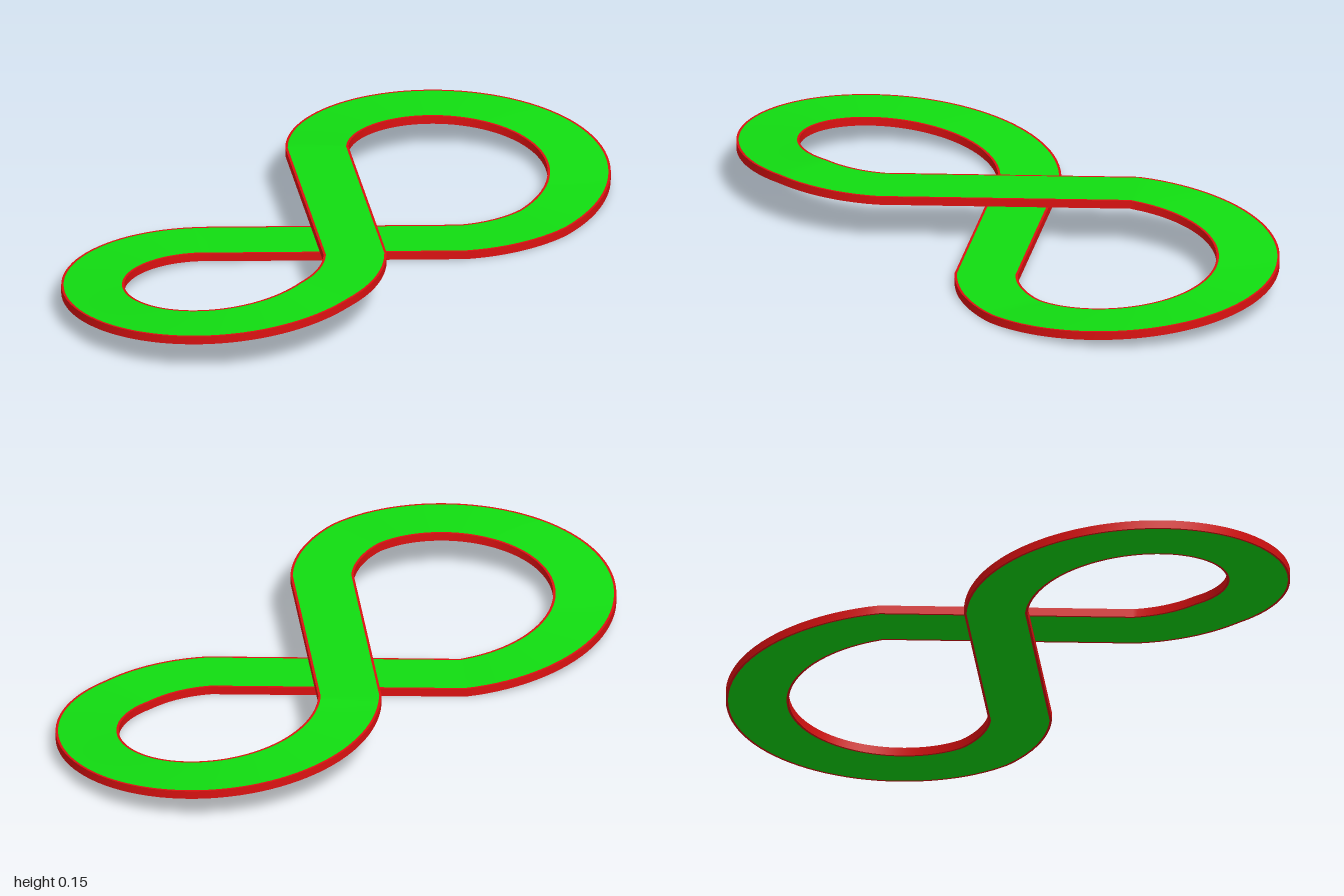
import * as THREE from 'three';

const RX = 0.375, RZ = 0.3975, CZ = 0.51;  // centre line of the rounded ends
const A0 = 0.73;                           // how far each end wraps past its widest point
const HALF = 0.0925, EDGE = 0.007;         // half width of the band and width of its rim
const THICK = 0.025, RISE = 0.125;

// Closed centre line: front loop runs down, lower strand crosses, back loop climbs, upper strand crosses
function centreLine() {
  const pts = [], N = 72;
  for (const side of [1, -1]) {
    for (let i = 0; i <= N; i++) {
      const u = i / N, a = -A0 + u * (Math.PI + 2 * A0);
      const f = Math.max(0, (u - 0.15) / 0.85);
      const h = side > 0 ? 1 - f : f;
      pts.push(new THREE.Vector3(RX * Math.cos(a), h * RISE, side * (CZ + RZ * Math.sin(a))));
    }
  }
  return pts;
}

// Mitred sideways vector (pointing right of travel) at each point
function sideways(pts) {
  const n = pts.length;
  const dir = (a, b) => new THREE.Vector3(b.x - a.x, 0, b.z - a.z).normalize();
  return pts.map((p, i) => {
    const d0 = dir(pts[(i + n - 1) % n], p), d1 = dir(p, pts[(i + 1) % n]);
    const t = d0.clone().add(d1).normalize();
    return new THREE.Vector3(-t.z, 0, t.x).divideScalar(t.dot(d1));
  });
}

// Sweep one line of the cross-section, from (s, y) to (s, y), along the whole loop
function band(name, pts, sides, from, to, material) {
  const pos = [], idx = [], n = pts.length;
  pts.forEach((p, i) => {
    for (const [s, y] of [from, to]) {
      pos.push(p.x + sides[i].x * s, p.y + y, p.z + sides[i].z * s);
    }
    const a = 2 * i, c = 2 * ((i + 1) % n);
    idx.push(a, a + 1, c, a + 1, c + 1, c);
  });
  const geo = new THREE.BufferGeometry();
  geo.setAttribute('position', new THREE.Float32BufferAttribute(pos, 3));
  geo.setIndex(idx);
  geo.computeVertexNormals();
  const mesh = new THREE.Mesh(geo, material);
  mesh.name = name;
  return mesh;
}

export function createModel() {
  const model = new THREE.Group();
  model.name = 'figureEightTrack';
  const green = new THREE.MeshStandardMaterial({ color: 0x11dd11 });
  const red = new THREE.MeshStandardMaterial({ color: 0xdd1111 });
  const pts = centreLine(), sides = sideways(pts);
  const inner = HALF - EDGE;
  const add = (name, from, to, mat) => model.add(band(name, pts, sides, from, to, mat));

  // Broad surfaces
  add('roadTop', [-inner, THICK], [inner, THICK], green);
  add('roadUnderside', [inner, 0], [-inner, 0], green);

  // Right rim
  add('rightRimTop', [inner, THICK], [HALF, THICK], red);
  add('rightRimWall', [HALF, THICK], [HALF, 0], red);
  add('rightRimUnderside', [HALF, 0], [inner, 0], red);

  // Left rim
  add('leftRimTop', [-HALF, THICK], [-inner, THICK], red);
  add('leftRimWall', [-HALF, 0], [-HALF, THICK], red);
  add('leftRimUnderside', [-inner, 0], [-HALF, 0], red);
  return model;
}
